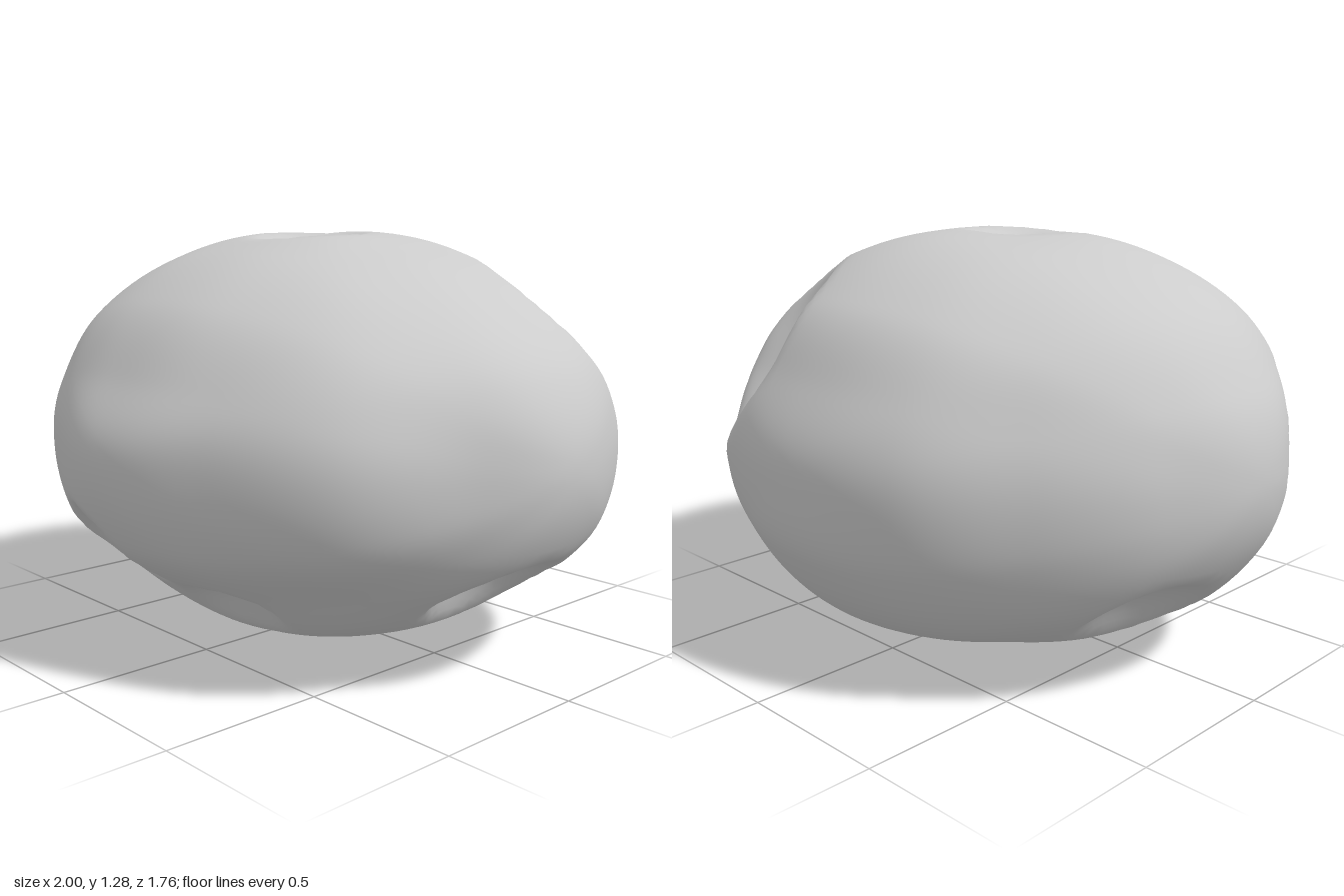
import * as THREE from 'three';
import { mergeVertices } from 'three/addons/utils/BufferGeometryUtils.js';

const HALF = new THREE.Vector3(1, 0.642, 0.88); // half sizes of the boulder

// Outline swell against the plain ellipsoid, every 22.5 degrees around each axis plane
const FRONT = [1, 0.995, 0.97, 0.97, 1, 1.035, 1.04, 1.01, 1, 1, 1.015, 1.03, 1, 0.99, 0.96, 1];
const SIDE = [1, 0.94, 0.97, 0.98, 1, 1.04, 1.02, 0.97, 1, 1.04, 1.065, 1.01, 1, 1, 0.93, 1];
const TOP = [1, 0.95, 0.985, 0.96, 1, 0.955, 0.95, 0.95, 1, 0.975, 0.965, 1, 1, 0.99, 0.965, 0.975];

// Craters: centre near the surface, radius, depth
const CRATERS = [
  { at: [0.53, 0.94, -0.57], r: 0.39, depth: 0.17 },   // large upper back
  { at: [-0.83, 0.66, 0.48], r: 0.29, depth: 0.09 },   // side front
  { at: [-0.2, 0.3, 0.76], r: 0.2, depth: 0.13 },      // front low
  { at: [0.17, 0.13, 0.54], r: 0.18, depth: 0.07 },    // front underside
  { at: [-0.65, 0.27, 0.5], r: 0.19, depth: 0.1 },     // front corner low
  { at: [0.79, 0.21, 0.01], r: 0.23, depth: 0.13 },    // side low
  { at: [0.5, 0.21, -0.6], r: 0.26, depth: 0.13 },     // back corner low
  { at: [-0.75, 0.2, -0.17], r: 0.23, depth: 0.09 },   // opposite side low
  { at: [-0.05, 1.27, 0.02], r: 0.19, depth: 0.08 },   // top
];

// Smooth value of a closed outline at the angle of (a, b)
function swellAt(outline, a, b) {
  const n = outline.length;
  const turn = (Math.atan2(b, a) / (2 * Math.PI) + 1) * n;
  const i = Math.floor(turn);
  return THREE.MathUtils.lerp(outline[i % n], outline[(i + 1) % n], THREE.MathUtils.smoothstep(turn - i, 0, 1));
}

// Blend the three outlines, each strongest near its own plane
function swell(u) {
  const wf = 1 / (u.z * u.z + 0.02), ws = 1 / (u.x * u.x + 0.02), wt = 1 / (u.y * u.y + 0.02);
  return (wf * swellAt(FRONT, u.x, u.y) + ws * swellAt(SIDE, u.z, u.y) + wt * swellAt(TOP, u.x, u.z)) / (wf + ws + wt);
}

// Soft-rimmed bowl
function bowl(distance, { r, depth }) {
  const t = Math.min(distance / r, 1);
  return -depth * (1 - t * t) ** 1.5;
}

function boulderGeometry() {
  let geo = new THREE.IcosahedronGeometry(1, 27);
  geo.deleteAttribute('normal');
  geo.deleteAttribute('uv');
  geo = mergeVertices(geo, 1e-4);

  // Project each crater onto the swollen ellipsoid and find its outward normal
  const craters = CRATERS.map(({ at, r, depth }) => {
    const unit = new THREE.Vector3(at[0], at[1] - HALF.y, at[2]).divide(HALF).normalize();
    const centre = unit.clone().multiply(HALF).multiplyScalar(swell(unit));
    return { centre, normal: unit.clone().divide(HALF).normalize(), r, depth };
  });

  // Shape the body, then press the craters in
  const pos = geo.attributes.position;
  const unit = new THREE.Vector3(), base = new THREE.Vector3(), p = new THREE.Vector3();
  for (let i = 0; i < pos.count; i++) {
    unit.fromBufferAttribute(pos, i).normalize();
    base.copy(unit).multiply(HALF).multiplyScalar(swell(unit));
    p.copy(base);
    for (const c of craters) p.addScaledVector(c.normal, bowl(base.distanceTo(c.centre), c));
    pos.setXYZ(i, p.x, p.y + HALF.y, p.z);
  }
  geo.computeVertexNormals();
  return geo;
}

export function createModel() {
  const group = new THREE.Group();
  group.name = 'crateredRock';
  const rock = new THREE.Mesh(boulderGeometry(), new THREE.MeshStandardMaterial({ color: 0xcccccc }));
  rock.name = 'rockBody';
  group.add(rock);
  return group;
}
